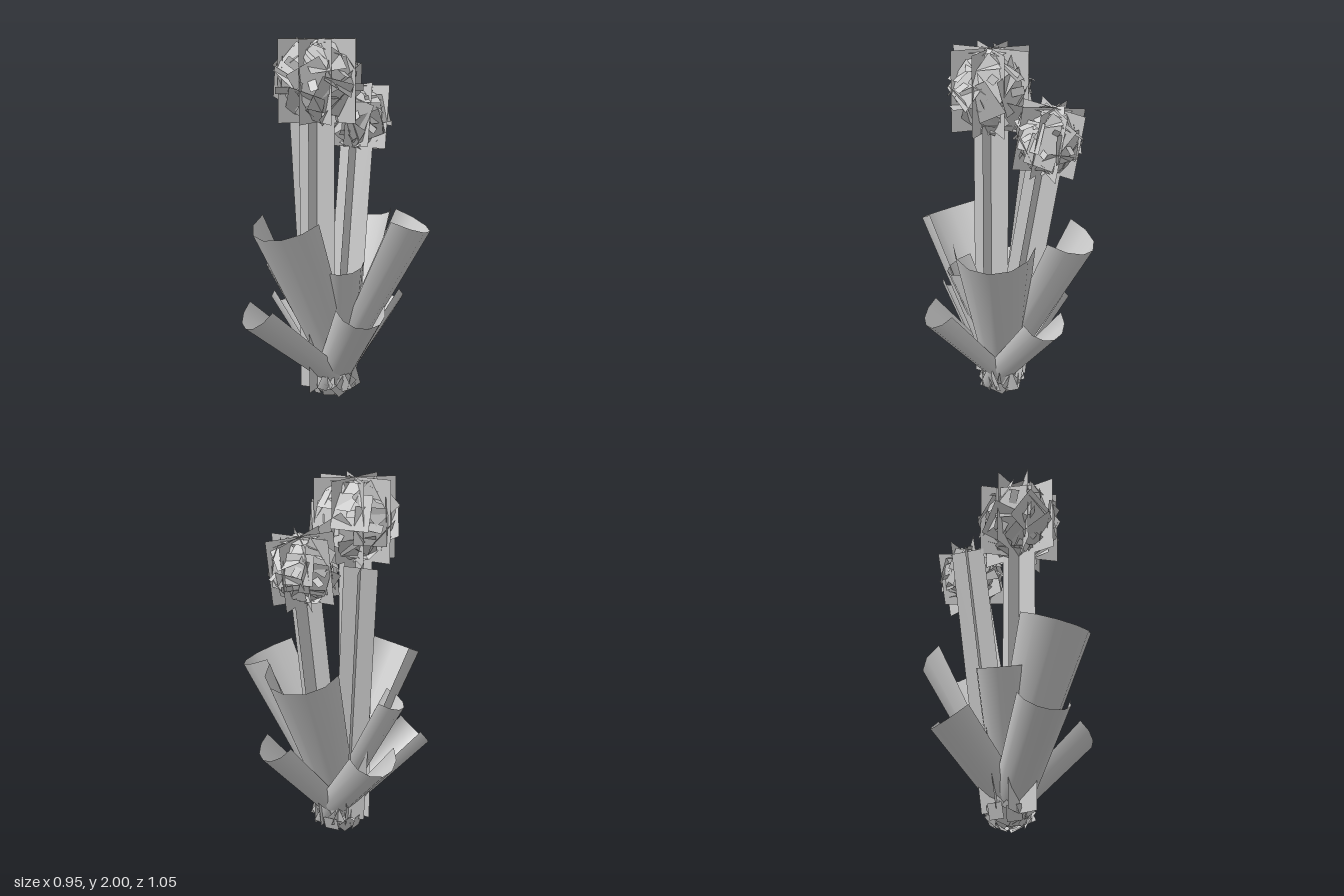
import * as THREE from 'three';

const material = new THREE.MeshStandardMaterial({ color: 0xcccccc, side: THREE.DoubleSide });
const UP = new THREE.Vector3(0, 1, 0);
const FRONT = new THREE.Vector3(0, 0, 1);
const vec = (p) => new THREE.Vector3(...p);

// Small seeded generator for the loose petals
function seeded(seed) {
  let s = seed;
  return () => (s = (s * 16807) % 2147483647) / 2147483647;
}

function card(name, width, height) {
  const mesh = new THREE.Mesh(new THREE.PlaneGeometry(width, height), material);
  mesh.name = name;
  return mesh;
}

// Rolled leaf: the outer half of a gently tapered tube, whose keel starts at the base point
function makeLeaf(base, tip, radius) {
  const baseRadius = 0.1;
  const keel = vec(base);
  const top = vec(tip);
  const slope = top.clone().sub(keel);
  const flat = new THREE.Vector3(slope.x, 0, slope.z);
  const side = new THREE.Vector3().crossVectors(slope, flat).normalize();
  const start = keel.addScaledVector(new THREE.Vector3().crossVectors(side, slope).normalize(), -baseRadius);

  const axis = top.sub(start);
  const length = axis.length();
  axis.normalize();
  const arc = THREE.MathUtils.degToRad(180);
  const geometry = new THREE.CylinderGeometry(radius, baseRadius, length, 6, 1, true, -arc / 2, arc);
  geometry.translate(0, length / 2, 0);
  const leaf = new THREE.Mesh(geometry, material);
  // Local z is the middle of the arc and faces away from the plant
  const across = new THREE.Vector3().crossVectors(axis, flat).normalize();
  const out = new THREE.Vector3().crossVectors(across, axis);
  leaf.quaternion.setFromRotationMatrix(new THREE.Matrix4().makeBasis(across, axis, out));
  leaf.position.copy(start);
  leaf.name = 'leaf';
  return leaf;
}

// Stem: two crossed flat strips
function makeStem(base, top, width, turn) {
  const stem = new THREE.Group();
  stem.name = 'stem';
  const a = vec(base);
  const b = vec(top);
  const direction = b.clone().sub(a);
  for (const angle of [0, Math.PI / 2]) {
    const strip = card('stemStrip', width, direction.length());
    strip.rotation.y = turn + angle;
    stem.add(strip);
  }
  stem.position.copy(a).add(b).multiplyScalar(0.5);
  stem.quaternion.setFromUnitVectors(UP, direction.normalize());
  return stem;
}

// Flower head: crossed squares inside a shell of overlapping petals
function makeHead(size, seed) {
  const random = seeded(seed);
  const head = new THREE.Group();
  head.name = 'flowerHead';
  for (let i = 0; i < 4; i++) {
    const square = card('coreSquare', size, size);
    square.rotation.y = (i * Math.PI) / 4;
    head.add(square);
  }
  const top = card('topPetal', size * 0.43, size * 0.43);
  top.position.y = size * 0.46;
  top.rotation.x = -Math.PI / 2;
  head.add(top);

  const count = 24;
  for (let i = 0; i < count; i++) {
    const y = 1 - (2 * (i + 0.9)) / count;
    const angle = i * 2.39996;
    const r = Math.sqrt(1 - y * y);
    const normal = new THREE.Vector3(Math.cos(angle) * r, y, Math.sin(angle) * r);
    const petal = card('petal', size * 0.45, size * 0.45);
    petal.position.copy(normal).multiplyScalar(size * 0.42);
    petal.quaternion.setFromUnitVectors(FRONT, normal);
    petal.rotateZ(random() * Math.PI);
    petal.rotateX((random() - 0.5) * 0.7);
    head.add(petal);

    // Narrow slips standing out between the petals
    const slip = card('petalSlip', size * 0.1, size * 0.26);
    slip.position.copy(normal).multiplyScalar(size * 0.44);
    slip.quaternion.copy(petal.quaternion);
    slip.rotateZ(random() * Math.PI);
    slip.rotateX(0.5 + random() * 0.5);
    head.add(slip);
  }
  return head;
}

// Ragged scales under the leaves
function makeRoot() {
  const random = seeded(77);
  const root = new THREE.Group();
  root.name = 'root';
  for (let i = 0; i < 18; i++) {
    const angle = i * 2.39996;
    const r = Math.sqrt(i / 18);
    const normal = new THREE.Vector3(Math.cos(angle) * r, -0.9 + r * 0.6, Math.sin(angle) * r).normalize();
    const scale = card('rootScale', 0.085, 0.085);
    scale.position.set(Math.cos(angle) * r * 0.125, 0.02 + r * r * 0.04, Math.sin(angle) * r * 0.11);
    scale.quaternion.setFromUnitVectors(FRONT, normal);
    scale.rotateZ(random() * Math.PI);
    root.add(scale);
  }
  root.position.set(-0.06, 0, 0);
  return root;
}

export function createModel() {
  const model = new THREE.Group();
  model.name = 'plant';

  // Leaves: centre of the open end and its radius
  const leaves = [
    [[-0.145, 1.045, 0.33], 0.215],
    [[0.27, 1.03, -0.1], 0.22],
    [[-0.06, 1.03, -0.335], 0.21],
    [[-0.28, 0.8, 0.1], 0.135],
    [[0.05, 0.8, 0.15], 0.14],
    [[-0.365, 0.56, -0.14], 0.145],
    [[-0.305, 0.56, 0.37], 0.145],
    [[0.22, 0.58, 0.235], 0.14],
    [[0.12, 0.58, -0.32], 0.135],
  ];
  for (const [tip, radius] of leaves) model.add(makeLeaf([-0.03, 0.03, 0], tip, radius));

  // Tall upright flower
  model.add(makeStem([-0.1, 0.05, 0.095], [-0.1, 1.7, 0.095], 0.21, 0));
  const tallHead = makeHead(0.445, 11);
  tallHead.position.set(-0.095, 1.765, 0.095);
  model.add(tallHead);

  // Shorter flower leaning back
  const leanTop = [-0.02, 1.55, -0.28];
  const leaningStem = makeStem([-0.02, 0.05, -0.02], leanTop, 0.2, 0);
  model.add(leaningStem);
  const smallHead = makeHead(0.355, 29);
  smallHead.position.set(...leanTop);
  smallHead.quaternion.copy(leaningStem.quaternion);
  model.add(smallHead);

  // Bare stem leaning to the side
  model.add(makeStem([-0.13, 0.07, -0.01], [-0.28, 1.56, -0.13], 0.18, 0.4));

  model.add(makeRoot());
  return model;
}
